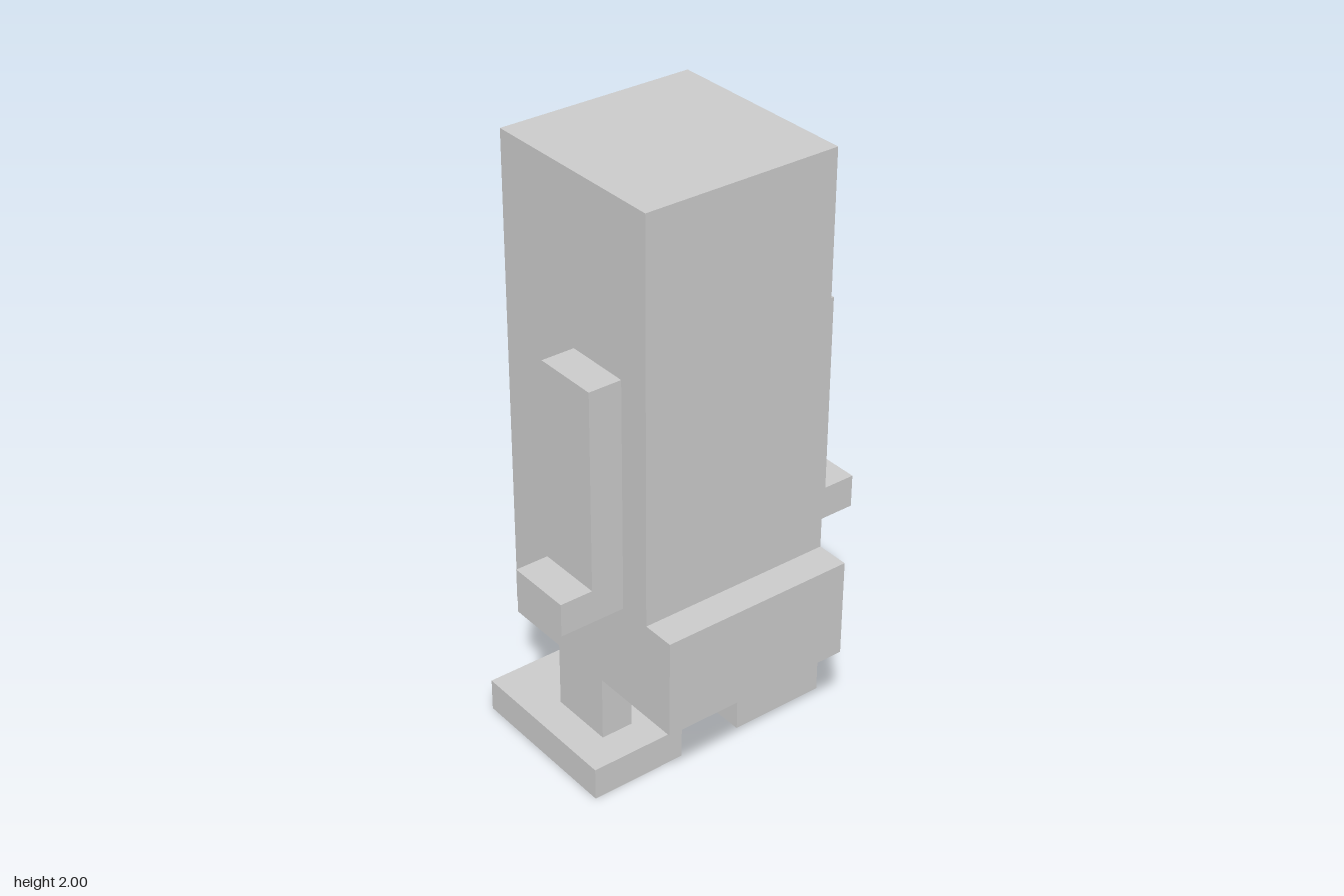
import * as THREE from 'three';

// The figure is laid out on a grid of blocks, 18 units tall.
const U = 1 / 9;

export function createModel() {
  const model = new THREE.Group();
  model.name = 'blockBird';
  const material = new THREE.MeshStandardMaterial({ color: 0xcccccc, flatShading: true });

  // Box given by its min and max on each axis, in grid units.
  const box = (name, [x0, x1], [y0, y1], [z0, z1], parent = model) => {
    const mesh = new THREE.Mesh(
      new THREE.BoxGeometry((x1 - x0) * U, (y1 - y0) * U, (z1 - z0) * U), material);
    mesh.position.set((x0 + x1) / 2 * U, (y0 + y1) / 2 * U, (z0 + z1) / 2 * U);
    mesh.name = name;
    parent.add(mesh);
  };

  // Body, with the beak at -x and the tail at +x
  box('body', [-2.5, 3.5], [3, 18], [-3, 3]);
  box('beak', [-4.5, -2.5], [14, 16], [-1, 1]);
  box('tail', [3.5, 4.5], [3, 6], [-3, 3]);

  // Wings and legs, mirrored across z
  for (const [side, s] of [['front', 1], ['back', -1]]) {
    const span = (a, b) => (s > 0 ? [a, b] : [-b, -a]);

    const wing = new THREE.Group();
    wing.name = side + 'Wing';
    box(side + 'WingPanel', [0.5, 2.5], [6, 13], span(3, 4), wing);
    box(side + 'WingTip', [0.5, 2.5], [6, 7], span(4, 5), wing);

    const leg = new THREE.Group();
    leg.name = side + 'Leg';
    box(side + 'Shin', [-0.5, 1.5], [1, 3], span(2, 3), leg);
    box(side + 'Foot', [-2.5, 2.5], [0, 1], span(1, 4), leg);

    model.add(wing, leg);
  }
  return model;
}
